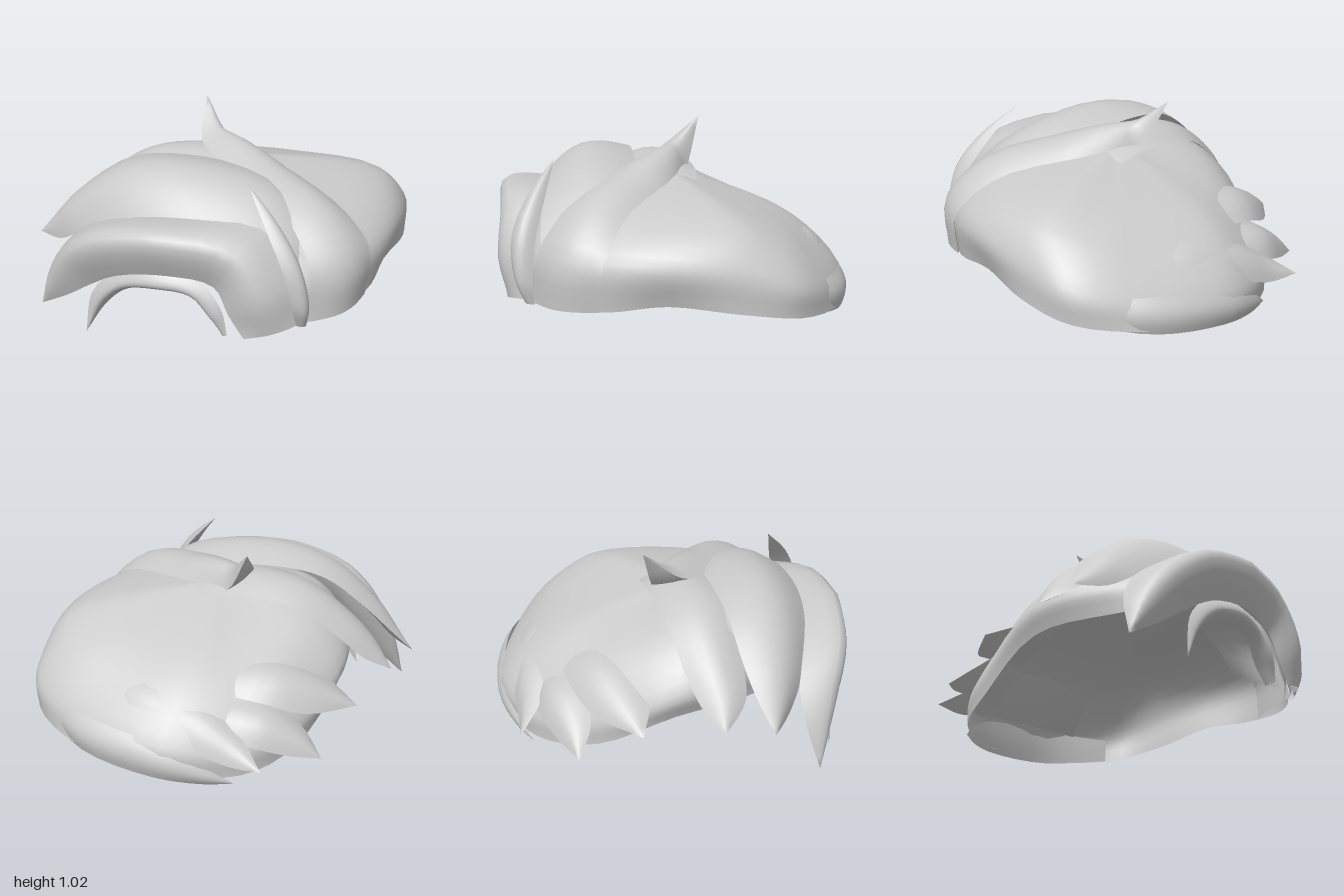
import * as THREE from 'three';
import { mergeVertices } from 'three/addons/utils/BufferGeometryUtils.js';

const V = (x, y, z) => new THREE.Vector3(x, y, z);
const material = new THREE.MeshStandardMaterial({ color: 0xcccccc, side: THREE.DoubleSide });
const CENTRE = V(0, 0.1, 0);

// Smooth surface through a grid of points
function sheet(rows, flip) {
  const n = rows[0].length, index = [];
  for (let i = 0; i < rows.length - 1; i++) {
    for (let j = 0; j < n - 1; j++) {
      const a = i * n + j, b = a + 1, c = a + n, d = c + 1;
      if (flip) index.push(a, b, c, b, d, c);
      else index.push(a, c, b, b, c, d);
    }
  }
  const g = new THREE.BufferGeometry().setFromPoints(rows.flat());
  g.setIndex(index);
  const welded = mergeVertices(g, 1e-5);
  welded.computeVertexNormals();
  return new THREE.Mesh(welded, material);
}

// Tapered lock: rows give two edges and the roundness between them,
// [ux,uy,uz, dx,dy,dz, roundness], from root to tip
function lock(name, rows, tip) {
  const end = V(...tip);
  const up = new THREE.CatmullRomCurve3([...rows.map(r => V(r[0], r[1], r[2])), end]);
  const down = new THREE.CatmullRomCurve3([...rows.map(r => V(r[3], r[4], r[5])), end]);
  const mid = t => up.getPoint(t).add(down.getPoint(t)).multiplyScalar(0.5);
  const across = t => down.getPoint(t).sub(up.getPoint(t));
  const normal = t => {
    const s = Math.min(t, 0.97);
    const along = mid(Math.min(s + 0.01, 1)).sub(mid(Math.max(s - 0.01, 0)));
    return along.cross(across(s)).normalize();
  };
  const roundness = t => {
    const k = t * rows.length, last = rows.length - 1;
    const a = rows[Math.min(Math.floor(k), last)], b = rows[Math.min(Math.floor(k) + 1, last)];
    return THREE.MathUtils.lerp(a[6], b[6], k % 1);
  };
  const side = Math.sign(normal(0.45).dot(mid(0.45).sub(CENTRE))) || 1;
  const steps = rows.length * 4, cols = 8;
  const layer = scale => Array.from({ length: steps + 1 }, (_, i) => {
    const t = i / steps, u = up.getPoint(t), w = across(t);
    const lift = normal(t).multiplyScalar(side * scale * roundness(t) * w.length());
    return Array.from({ length: cols + 1 }, (_, j) =>
      u.clone().addScaledVector(w, j / cols).addScaledVector(lift, Math.sin(Math.PI * j / cols)));
  });
  const group = new THREE.Group();
  group.name = name;
  const outer = sheet(layer(1), side < 0);
  const inner = sheet(layer(-0.1), side > 0);
  outer.name = name + 'Outer';
  inner.name = name + 'Inner';
  group.add(outer, inner);
  return group;
}

// Open cap: each column runs rim, waist, shoulder, then meets at the crown
function cap() {
  const columns = [
    [0.5, 0.22, 0.76, 0.53, 0.45, 0.75, 0.4, 0.7, 0.52],
    [0.79, 0.24, 0.46, 0.81, 0.48, 0.45, 0.66, 0.66, 0.3],
    [0.88, 0.28, 0.15, 0.94, 0.48, 0.12, 0.8, 0.65, 0],
    [0.98, 0.25, -0.2, 0.98, 0.44, -0.25, 0.83, 0.63, -0.25],
    [0.95, 0.2, -0.52, 0.95, 0.36, -0.52, 0.7, 0.57, -0.47],
    [0.66, 0.15, -0.8, 0.66, 0.3, -0.76, 0.42, 0.55, -0.58],
    [0.2, 0.1, -0.93, 0.2, 0.24, -0.94, 0.1, 0.52, -0.68],
    [-0.2, 0.08, -0.84, -0.22, 0.22, -0.82, -0.15, 0.54, -0.55],
    [-0.45, 0.13, -0.58, -0.47, 0.28, -0.55, -0.35, 0.58, -0.4],
    [-0.62, 0.32, -0.2, -0.66, 0.45, -0.2, -0.45, 0.7, -0.12],
    [-0.6, 0.36, 0.2, -0.62, 0.52, 0.2, -0.45, 0.75, 0.15],
    [-0.42, 0.4, 0.66, -0.4, 0.53, 0.58, -0.25, 0.72, 0.4],
    [0.04, 0.42, 0.79, 0.08, 0.56, 0.72, 0.1, 0.74, 0.45],
  ];
  const ring = k => new THREE.CatmullRomCurve3(
    columns.map(c => V(c[k], c[k + 1], c[k + 2])), true);
  const rings = [ring(0), ring(3), ring(6)], around = 52;
  const rows = Array.from({ length: around + 1 }, (_, i) => {
    const t = (i % around) / around;
    return new THREE.CatmullRomCurve3(
      [...rings.map(r => r.getPoint(t)), V(0.03, 0.8, 0)]).getPoints(14);
  });
  const mesh = sheet(rows, false);
  mesh.name = 'hairCap';
  return mesh;
}

export function createModel() {
  const model = new THREE.Group();
  model.name = 'sweptHair';
  model.add(
    cap(),
    // Locks across the forehead
    lock('frontBang', [
      [0.49, 0.23, 0.8, 0.2, 0.16, 0.88, 0.15],
      [0.44, 0.48, 0.78, 0.12, 0.28, 0.86, 0.3],
      [0.27, 0.69, 0.68, 0.04, 0.42, 0.83, 0.42],
      [-0.2, 0.69, 0.62, -0.2, 0.45, 0.8, 0.65],
      [-0.52, 0.62, 0.52, -0.47, 0.39, 0.72, 0.62],
      [-0.73, 0.49, 0.43, -0.63, 0.28, 0.63, 0.5],
      [-0.87, 0.3, 0.42, -0.77, 0.17, 0.56, 0.4],
    ], [-0.94, 0.06, 0.48]),
    lock('innerBang', [
      [0.11, 0.15, 0.84, 0.09, 0.13, 0.79, 0.3],
      [0.08, 0.3, 0.84, 0.02, 0.23, 0.76, 0.4],
      [-0.03, 0.42, 0.8, -0.09, 0.33, 0.76, 0.45],
      [-0.25, 0.46, 0.77, -0.25, 0.34, 0.74, 0.45],
      [-0.48, 0.4, 0.7, -0.42, 0.3, 0.68, 0.45],
      [-0.62, 0.25, 0.66, -0.55, 0.18, 0.64, 0.45],
    ], [-0.66, 0.01, 0.66]),
    // Locks swept over the top
    lock('topFrontLock', [
      [0.62, 0.46, 0.42, 0.5, 0.28, 0.74, 0.06],
      [0.48, 0.66, 0.34, 0.46, 0.52, 0.73, 0.1],
      [0.24, 0.77, 0.2, 0.27, 0.68, 0.7, 0.16],
      [-0.2, 0.83, 0.14, -0.15, 0.71, 0.66, 0.2],
      [-0.5, 0.79, 0.12, -0.45, 0.65, 0.58, 0.2],
      [-0.73, 0.63, 0.12, -0.72, 0.49, 0.45, 0.22],
      [-0.88, 0.48, 0.15, -0.86, 0.38, 0.33, 0.25],
    ], [-1, 0.35, 0.2]),
    lock('topMiddleLock', [
      [0.35, 0.68, -0.1, 0.35, 0.7, 0.1, 0.05],
      [0.1, 0.76, -0.16, 0.1, 0.78, 0.2, 0.1],
      [-0.15, 0.77, -0.17, -0.15, 0.8, 0.2, 0.15],
      [-0.4, 0.72, -0.17, -0.4, 0.75, 0.18, 0.17],
      [-0.62, 0.56, -0.15, -0.64, 0.59, 0.15, 0.2],
      [-0.76, 0.43, -0.11, -0.78, 0.45, 0.12, 0.22],
    ], [-0.9, 0.34, -0.03]),
    // Locks at the back
    lock('backUpperLock', [
      [0, 0.46, -0.66, -0.1, 0.56, -0.38, 0.1],
      [-0.27, 0.42, -0.68, -0.36, 0.53, -0.37, 0.18],
      [-0.5, 0.34, -0.61, -0.57, 0.42, -0.33, 0.2],
    ], [-0.75, 0.31, -0.42]),
    lock('backMiddleLock', [
      [0.05, 0.27, -0.82, 0, 0.44, -0.62, 0.1],
      [-0.23, 0.25, -0.84, -0.28, 0.41, -0.62, 0.2],
      [-0.43, 0.19, -0.79, -0.48, 0.28, -0.62, 0.22],
    ], [-0.6, 0.15, -0.72]),
    lock('backLowerLock', [
      [0.72, 0.3, -0.66, 0.58, 0.46, -0.5, 0.1],
      [0.4, 0.3, -0.83, 0.3, 0.52, -0.62, 0.14],
      [0.05, 0.24, -0.91, 0, 0.43, -0.71, 0.17],
      [-0.15, 0.18, -0.93, -0.19, 0.3, -0.81, 0.2],
    ], [-0.32, 0.18, -0.96]),
    lock('napeLock', [
      [0.91, 0.19, -0.54, 0.91, 0.32, -0.53, 0.1],
      [0.64, 0.13, -0.81, 0.63, 0.32, -0.78, 0.18],
      [0.25, 0.08, -0.93, 0.2, 0.26, -0.92, 0.18],
      [0, 0.05, -0.91, -0.02, 0.15, -0.91, 0.2],
    ], [-0.17, 0.04, -0.86]),
    // Raised lock from the temple, ending in a spike
    lock('templeSpike', [
      [0.5, 0.22, 0.78, 0.79, 0.24, 0.48, 0.15],
      [0.52, 0.48, 0.75, 0.81, 0.48, 0.46, 0.16],
      [0.39, 0.69, 0.58, 0.68, 0.63, 0.33, 0.18],
      [0.15, 0.79, 0.34, 0.38, 0.7, 0.06, 0.22],
      [-0.02, 0.82, 0.16, 0.18, 0.74, -0.05, 0.36],
      [-0.13, 0.86, 0, 0, 0.78, -0.13, 0.5],
    ], [-0.13, 1.03, -0.22]),
    lock('thinSpike', [
      [0.46, 0.22, 0.82, 0.51, 0.21, 0.77, 0.3],
      [0.44, 0.35, 0.87, 0.52, 0.32, 0.78, 0.35],
      [0.39, 0.55, 0.87, 0.47, 0.52, 0.76, 0.35],
      [0.29, 0.74, 0.77, 0.36, 0.7, 0.7, 0.35],
    ], [0.19, 0.9, 0.62]),
  );
  return model;
}
